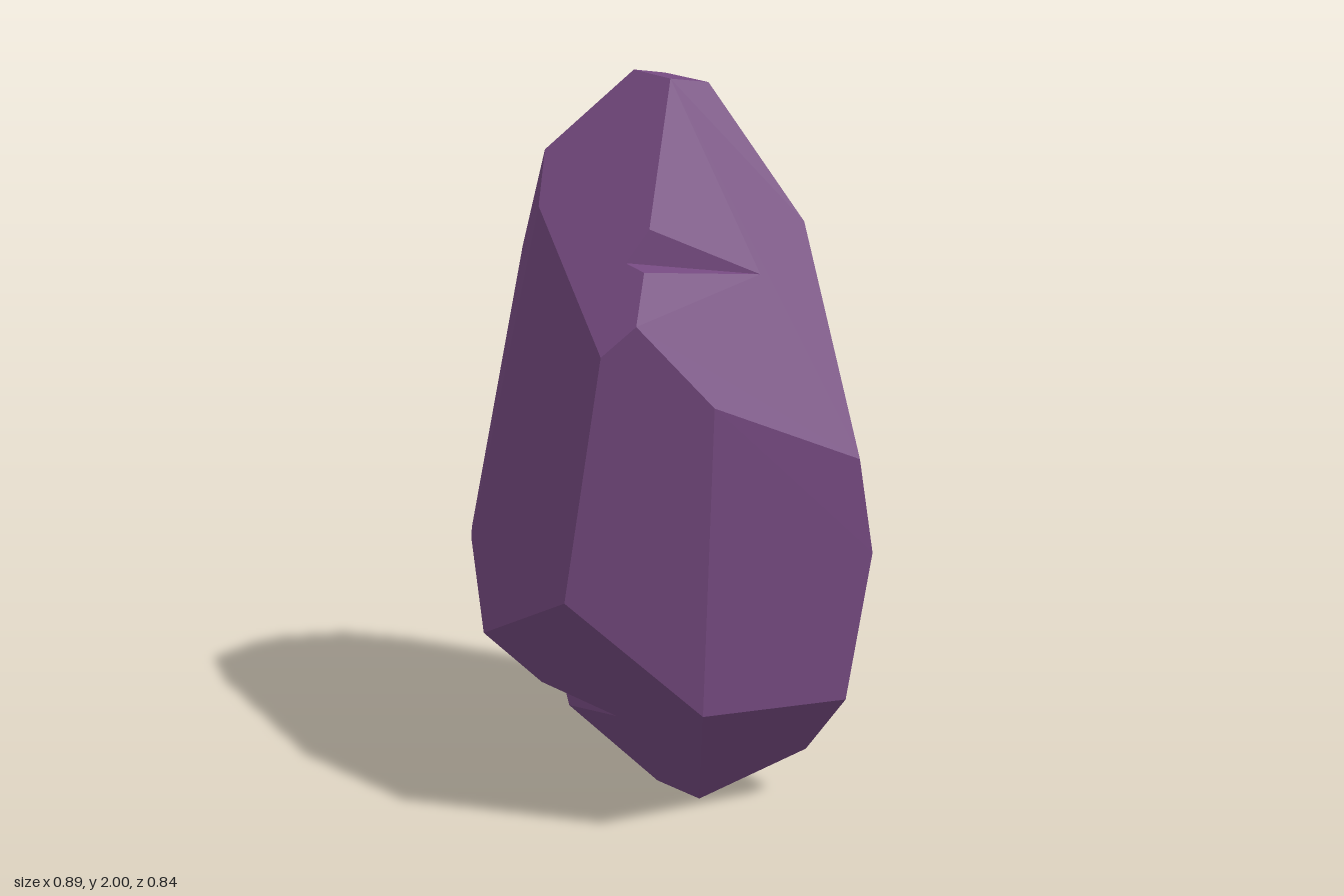
import * as THREE from 'three';

// Corners of the crystal
const P = {
  // tip
  t1: [-0.04, 2.0, -0.125], t2: [0, 1.985, 0], t3: [0.12, 1.97, -0.02], t4: [0.06, 1.987, -0.145],
  // shoulder
  backRight: [0.14, 1.62, -0.36], backLeft: [-0.255, 1.525, -0.37],
  leftTop: [-0.255, 1.8, -0.21], leftMid: [-0.315, 1.67, -0.12],
  leftFront: [-0.35, 1.37, 0.31], frontLeft: [-0.275, 1.445, 0.35],
  front: [-0.1, 1.24, 0.42], frontRight: [0.33, 1.05, 0.41],
  rightTop: [0.335, 1.615, 0.11], right: [0.445, 1.27, 0],
  rightLow: [0.385, 0.785, 0.4], rightBack: [0.425, 1.1, -0.26], backEdge: [0.24, 1.4, -0.37],
  // lower girdle
  g1: [0.33, 0.372, 0.377], g2: [0.32, 0.155, 0.2], g3: [0.33, 0.4, -0.3], g4: [0.257, 0.352, -0.35],
  g5: [0.14, 0.51, -0.42], g6: [-0.41, 0.735, -0.415], g7: [-0.42, 0.71, -0.395],
  g8: [-0.445, 0.48, -0.26], g9: [-0.42, 0.73, 0.23], g10: [-0.1, 0.41, 0.37],
  // base
  b1: [0.06, 0, 0.06], b2: [0, 0.008, -0.08],
  // chips: two points on an edge (a, b), one on each neighbouring facet (c, d)
  fa: [-0.173, 1.65, 0.22], fb: [-0.218, 1.558, 0.28], fc: [0.14, 1.512, 0.22], fd: [-0.235, 1.572, 0.215],
  ra: [0.394, 0.87, -0.273], rb: [0.384, 0.795, -0.277], rc: [0.379, 0.765, -0.23], rd: [0.32, 0.89, -0.315],
  la: [-0.3, 0.327, -0.201], lb: [-0.23, 0.253, -0.173], lc: [-0.18, 0.29, 0.025], ld: [-0.23, 0.29, -0.196],
};

// Flat facets, as loops of corners
const FACETS = [
  't1 t2 t3 t4',
  't1 t4 backRight backLeft leftTop',
  't2 t1 leftTop leftMid leftFront frontLeft fb fd fa',
  't2 fa fc fb frontLeft front frontRight rightTop t3',
  't3 rightTop right rightBack backEdge backRight t4',
  'rightTop frontRight rightLow right',
  'leftFront g9 g10 front frontLeft',
  'front g10 g1 rightLow frontRight',
  'right rightLow g1 g2 g3 rb rc ra rightBack',
  'rightBack ra rd rb g3 g4 g5 backEdge',
  'backRight backEdge g5 g6 backLeft',
  'backLeft g6 g7 leftMid leftTop',
  'leftMid g7 g8 g9 leftFront',
  'g10 b1 g2 g1',
  'g9 g8 la lc lb b2 b1 g10',
  'g2 b1 b2 g4 g3',
  'g8 g7 g6 g5 g4 b2 lb ld la',
];

const vec = (name) => new THREE.Vector3(...P[name]);

// Adds one flat polygon, turned so that its normal matches the sign of toward(point on face)
function addFacet(names, toward, pos, nor) {
  const pts = names.map(vec);
  const n = new THREE.Vector3();
  const mid = new THREE.Vector3();
  pts.forEach((p, i) => {
    n.add(p.clone().cross(pts[(i + 1) % pts.length]));
    mid.addScaledVector(p, 1 / pts.length);
  });
  n.normalize();
  if (n.dot(toward(mid)) < 0) n.negate();
  const u = pts[1].clone().sub(pts[0]).projectOnPlane(n).normalize();
  const v = n.clone().cross(u);
  let flat = pts.map((p, i) => Object.assign(new THREE.Vector2(p.dot(u), p.dot(v)), { i }));
  if (THREE.ShapeUtils.isClockWise(flat)) flat.reverse();
  for (const tri of THREE.ShapeUtils.triangulateShape(flat, [])) {
    const [a, b, c] = tri.map((k) => flat[k]);
    const ccw = (b.x - a.x) * (c.y - a.y) - (b.y - a.y) * (c.x - a.x) > 0;
    for (const q of ccw ? [a, b, c] : [a, c, b]) {
      pos.push(...pts[q.i].toArray());
      nor.push(n.x, n.y, n.z);
    }
  }
}

function makeMesh(name, material, build) {
  const pos = [], nor = [];
  build(pos, nor);
  const geo = new THREE.BufferGeometry();
  geo.setAttribute('position', new THREE.Float32BufferAttribute(pos, 3));
  geo.setAttribute('normal', new THREE.Float32BufferAttribute(nor, 3));
  const mesh = new THREE.Mesh(geo, material);
  mesh.name = name;
  return mesh;
}

export function createModel() {
  const group = new THREE.Group();
  group.name = 'crystal';
  const purple = new THREE.MeshStandardMaterial({ color: 0x754a80 });
  purple.name = 'purple';

  // Outer facets face away from the core
  const core = new THREE.Vector3(0, 1, 0);
  group.add(makeMesh('crystalBody', purple, (pos, nor) => {
    for (const f of FACETS) addFacet(f.split(' '), (m) => m.clone().sub(core), pos, nor);
  }));

  // Wedge-shaped chips: two inner walls that face each other
  for (const [k, name] of [['f', 'frontChip'], ['r', 'rightChip'], ['l', 'lowerChip']]) {
    group.add(makeMesh(name, purple, (pos, nor) => {
      for (const [own, other] of ['ab', 'ba']) {
        addFacet([k + own, k + 'c', k + 'd'], (m) => vec(k + other).sub(m), pos, nor);
      }
    }));
  }
  return group;
}
